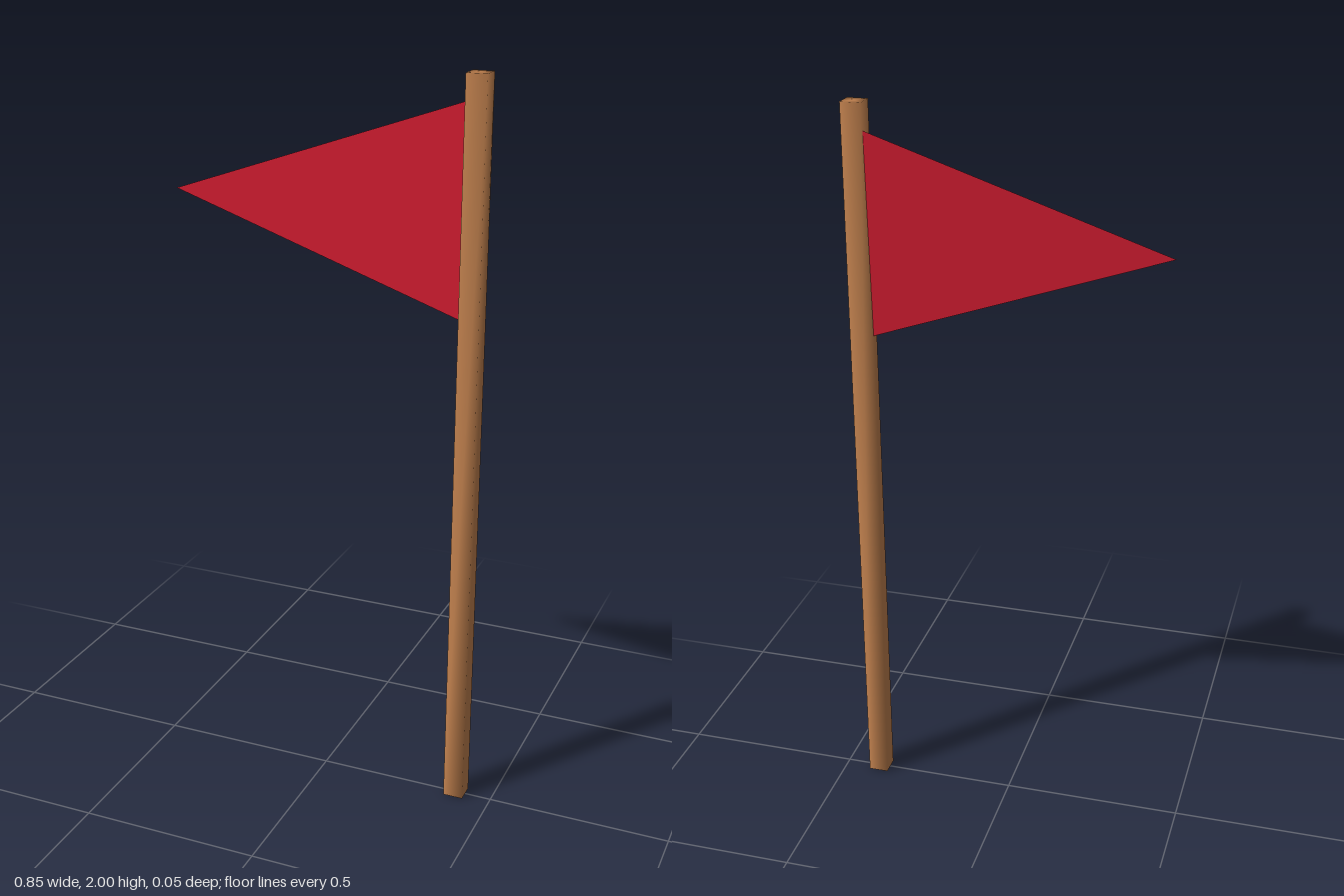
import * as THREE from 'three';
import { mergeVertices } from 'three/addons/utils/BufferGeometryUtils.js';

const POLE_X = 0.398, POLE_SIDE = 0.055, POLE_HEIGHT = 2;

// Square pole whose corners share smooth normals
function createPole() {
  let geometry = new THREE.CylinderGeometry(POLE_SIDE * Math.SQRT1_2, POLE_SIDE * Math.SQRT1_2, POLE_HEIGHT, 4);
  geometry.rotateY(Math.PI / 4);
  geometry.deleteAttribute('uv');
  geometry.deleteAttribute('normal');
  geometry = mergeVertices(geometry);
  geometry.computeVertexNormals();
  const pole = new THREE.Mesh(geometry, new THREE.MeshStandardMaterial({ color: 0xc68450 }));
  pole.name = 'pole';
  pole.position.set(POLE_X, POLE_HEIGHT / 2, 0);
  return pole;
}

// Thin triangular pennant, leaning slightly back towards its upper corner
function createPennant() {
  const geometry = new THREE.BufferGeometry().setFromPoints([
    new THREE.Vector3(-0.425, 1.655, 0.008),
    new THREE.Vector3(0.372, 1.38, 0.002),
    new THREE.Vector3(0.372, 1.93, -0.02),
  ]);
  geometry.setIndex([0, 1, 2]);
  geometry.computeVertexNormals();
  const pennant = new THREE.Mesh(
    geometry,
    new THREE.MeshStandardMaterial({ color: 0xd01c30, side: THREE.DoubleSide })
  );
  pennant.name = 'pennant';
  return pennant;
}

export function createModel() {
  const flag = new THREE.Group();
  flag.name = 'flag';
  flag.add(createPole(), createPennant());
  return flag;
}
